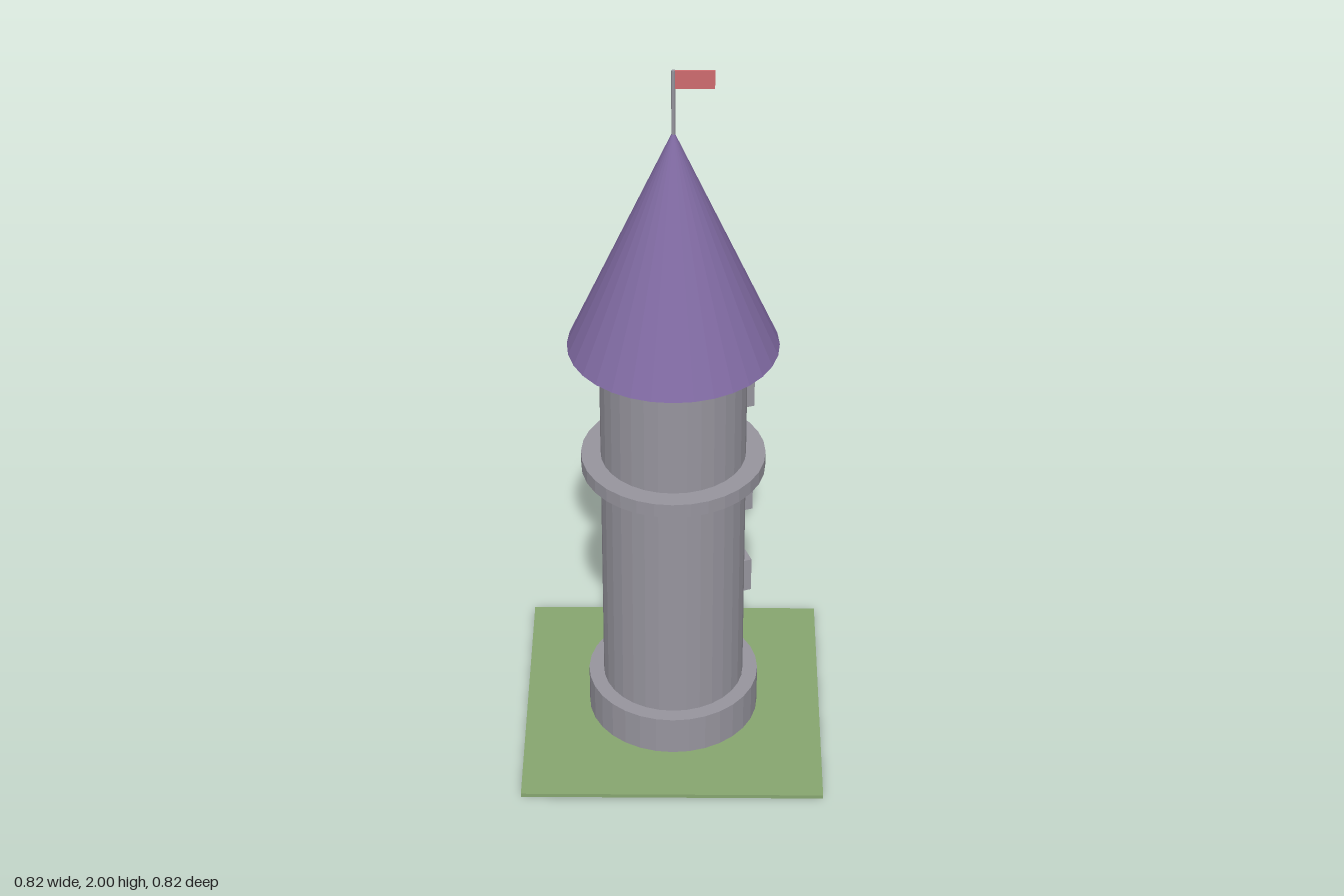
import * as THREE from 'three';

const mat = (name, color) => {
  const m = new THREE.MeshStandardMaterial({ color, flatShading: true });
  m.name = name;
  return m;
};

export function createModel() {
  const stone = mat('stone', 0x96949d);
  const roofPurple = mat('roof purple', 0x806aa2);
  const grass = mat('grass green', 0x86a56f);
  const soil = mat('dark underside', 0x3c4633);
  const flagRed = mat('flag red', 0xcd6b6e);
  const tower = new THREE.Group();
  tower.name = 'tower';

  const add = (name, geometry, material, x = 0, y = 0, z = 0) => {
    const mesh = new THREE.Mesh(geometry, material);
    mesh.name = name;
    mesh.position.set(x, y, z);
    tower.add(mesh);
    return mesh;
  };
  // Upright drum spanning y0 to y1
  const drum = (name, r, y0, y1, material, sides = 32) =>
    add(name, new THREE.CylinderGeometry(r, r, y1 - y0, sides), material, 0, (y0 + y1) / 2, 0);

  // Ground: green slab with a dark underside (material order +x -x +y -y +z -z)
  add('ground', new THREE.BoxGeometry(0.82, 0.011, 0.82),
    [grass, grass, grass, soil, grass, grass], 0, 0.0065, 0);

  // Masonry
  drum('plinth', 0.235, 0, 0.126, stone);
  drum('shaft', 0.194, 0.1, 1.206, stone);
  drum('ledge', 0.246, 0.823, 0.863, stone);

  // Roof, pole and flag
  add('roof', new THREE.ConeGeometry(0.277, 0.63, 32), roofPurple, 0, 1.519, 0);
  drum('flagPole', 0.005, 1.8, 2, stone, 8);
  add('flag', new THREE.BoxGeometry(0.1, 0.05, 0.004), flagRed, 0.053, 1.975, 0);

  // Two columns of window blocks facing outward
  const windowGeometry = new THREE.BoxGeometry(0.03, 0.103, 0.049);
  for (const degrees of [20, 70]) {
    const a = THREE.MathUtils.degToRad(degrees);
    for (const y of [0.411, 0.688, 1.026]) {
      const block = add('window', windowGeometry, stone, 0.205 * Math.cos(a), y, -0.205 * Math.sin(a));
      block.rotation.y = a;
    }
  }

  // Small orb on the ledge
  add('orb', new THREE.SphereGeometry(0.03, 16, 12), roofPurple, 0.145, 0.843, -0.206);

  return tower;
}
